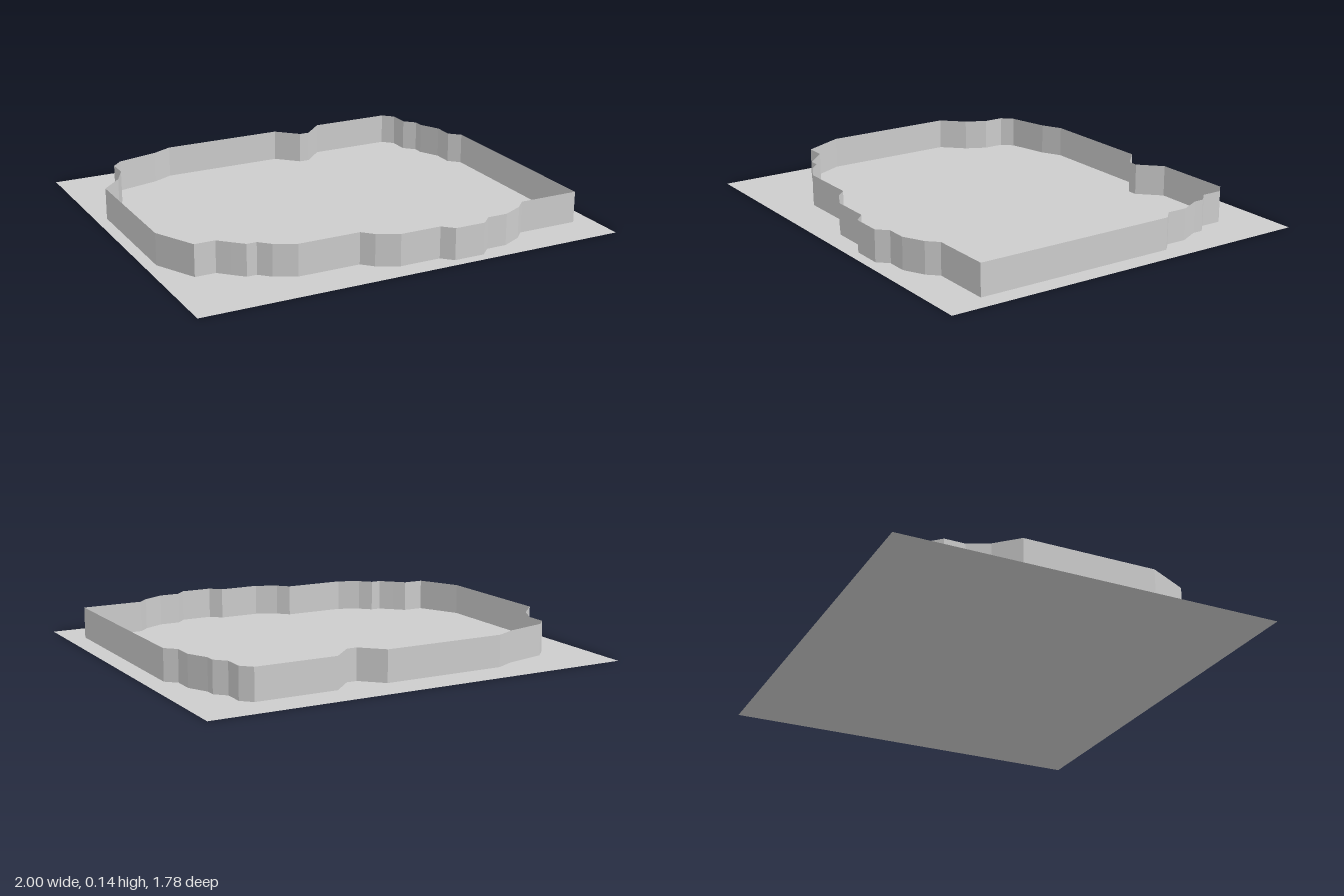
import * as THREE from 'three';

const WALL_HEIGHT = 0.145;

// Wall outline as [x, z], from the front corner at +x round to -x, the back and home again
const OUTLINE = [
  // front
  [0.91, 0.697], [0.624, 0.697], [0.577, 0.745], [0.481, 0.793], [0.386, 0.793],
  [0.339, 0.84], [0.196, 0.84], [0.148, 0.793], [-0.042, 0.793], [-0.138, 0.745],
  [-0.185, 0.697], [-0.471, 0.697], [-0.566, 0.65], [-0.614, 0.602], [-0.66, 0.602],
  [-0.71, 0.554], [-0.757, 0.507], [-0.852, 0.507],
  // -x side
  [-0.9, 0.411], [-0.947, 0.316], [-0.947, -0.302], [-0.852, -0.398],
  [-0.804, -0.493], [-0.804, -0.588],
  // back
  [-0.757, -0.636], [-0.566, -0.683], [-0.471, -0.73], [0.1, -0.73], [0.148, -0.683],
  [0.196, -0.636], [0.243, -0.636], [0.291, -0.683], [0.339, -0.73], [0.72, -0.73],
  // +x side
  [0.767, -0.683], [0.767, -0.588], [0.815, -0.54], [0.815, -0.493],
  [0.862, -0.398], [0.862, -0.302], [0.91, -0.255],
];

// Upright sheet following a closed outline, one flat panel per edge
function ribbon(points, height) {
  const pos = [];
  points.forEach(([ax, az], i) => {
    const [bx, bz] = points[(i + 1) % points.length];
    pos.push(bx, 0, bz, ax, 0, az, ax, height, az);
    pos.push(bx, 0, bz, ax, height, az, bx, height, bz);
  });
  const geometry = new THREE.BufferGeometry();
  geometry.setAttribute('position', new THREE.Float32BufferAttribute(pos, 3));
  geometry.computeVertexNormals();
  return geometry;
}

export function createModel() {
  const group = new THREE.Group();
  const grey = new THREE.MeshStandardMaterial({ color: 0xcccccc, side: THREE.DoubleSide });
  grey.name = 'light grey';

  // Flat ground sheet
  const base = new THREE.Mesh(new THREE.PlaneGeometry(2, 1.78).rotateX(-Math.PI / 2), grey);
  base.name = 'basePlate';

  // Thin perimeter wall
  const wall = new THREE.Mesh(ribbon(OUTLINE, WALL_HEIGHT), grey);
  wall.name = 'perimeterWall';

  group.add(base, wall);
  return group;
}
